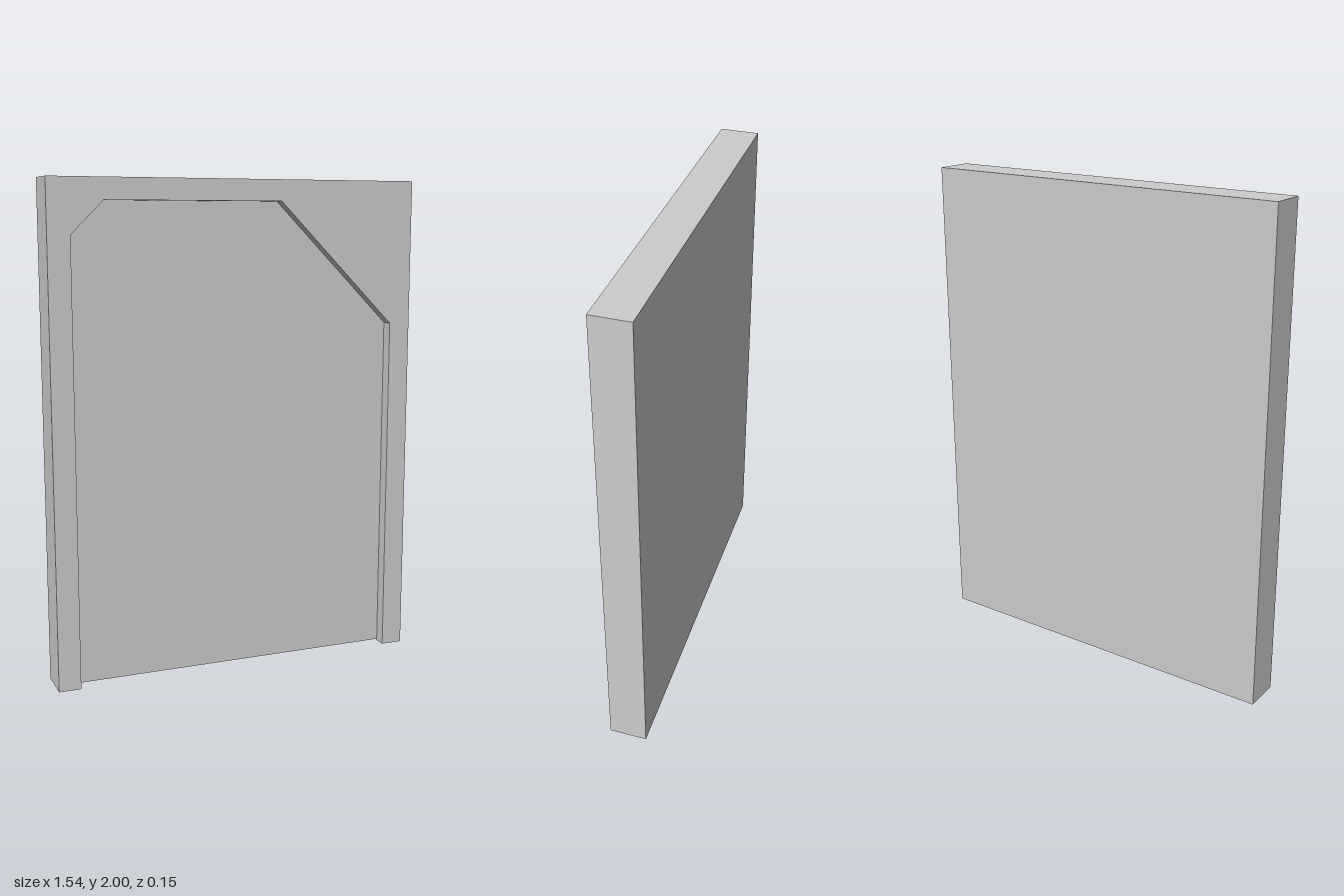
import * as THREE from 'three';

const W = 0.77, H = 2, Z = 0.077; // half width, height, half depth
const RECESS_Z = 0.027, SILL = 0.006;

// Outline of the recess, from its lower left corner over the top to its lower right
const opening = (y) => [
  [-0.68, y], [-0.68, 1.785], [-0.55, 1.915], [0.18, 1.915], [0.68, 1.415], [0.68, y],
];
const toShape = (points) => new THREE.Shape(points.map(([x, y]) => new THREE.Vector2(x, y)));

// Flat-shaded wall that follows an open path between two depths
function wall(points, z0, z1) {
  const v = [];
  for (let i = 0; i < points.length - 1; i++) {
    const [p, q] = [points[i], points[i + 1]];
    v.push(...p, z0, ...p, z1, ...q, z1, ...p, z0, ...q, z1, ...q, z0);
  }
  const g = new THREE.BufferGeometry();
  g.setAttribute('position', new THREE.Float32BufferAttribute(v, 3));
  g.computeVertexNormals();
  return g;
}

export function createModel() {
  const group = new THREE.Group();
  const material = new THREE.MeshStandardMaterial({ color: 0xcccccc, side: THREE.DoubleSide });
  const add = (name, geometry) => {
    const mesh = new THREE.Mesh(geometry, material);
    mesh.name = name;
    group.add(mesh);
  };
  const outer = [[-W, 0], [-W, H], [W, H], [W, 0]];

  // Hollow slab, open underneath: sides and top, back, and the face around the recess
  add('outerSides', wall(outer, -Z, Z));
  add('backFace', new THREE.ShapeGeometry(toShape(outer)).rotateY(Math.PI).translate(0, 0, -Z));
  const face = [...outer, ...opening(0).reverse()];
  add('frontFrame', new THREE.ShapeGeometry(toShape(face)).translate(0, 0, Z));

  // Step from the front face in to the recessed panel
  add('recessEdge', wall(opening(0).reverse(), RECESS_Z, Z));

  // Recessed panel, its underside just clear of the ground
  const depth = RECESS_Z + Z - 0.008;
  add('recessPanel', new THREE.ExtrudeGeometry(toShape(opening(SILL)), { depth, bevelEnabled: false })
    .translate(0, 0, RECESS_Z - depth));

  return group;
}
